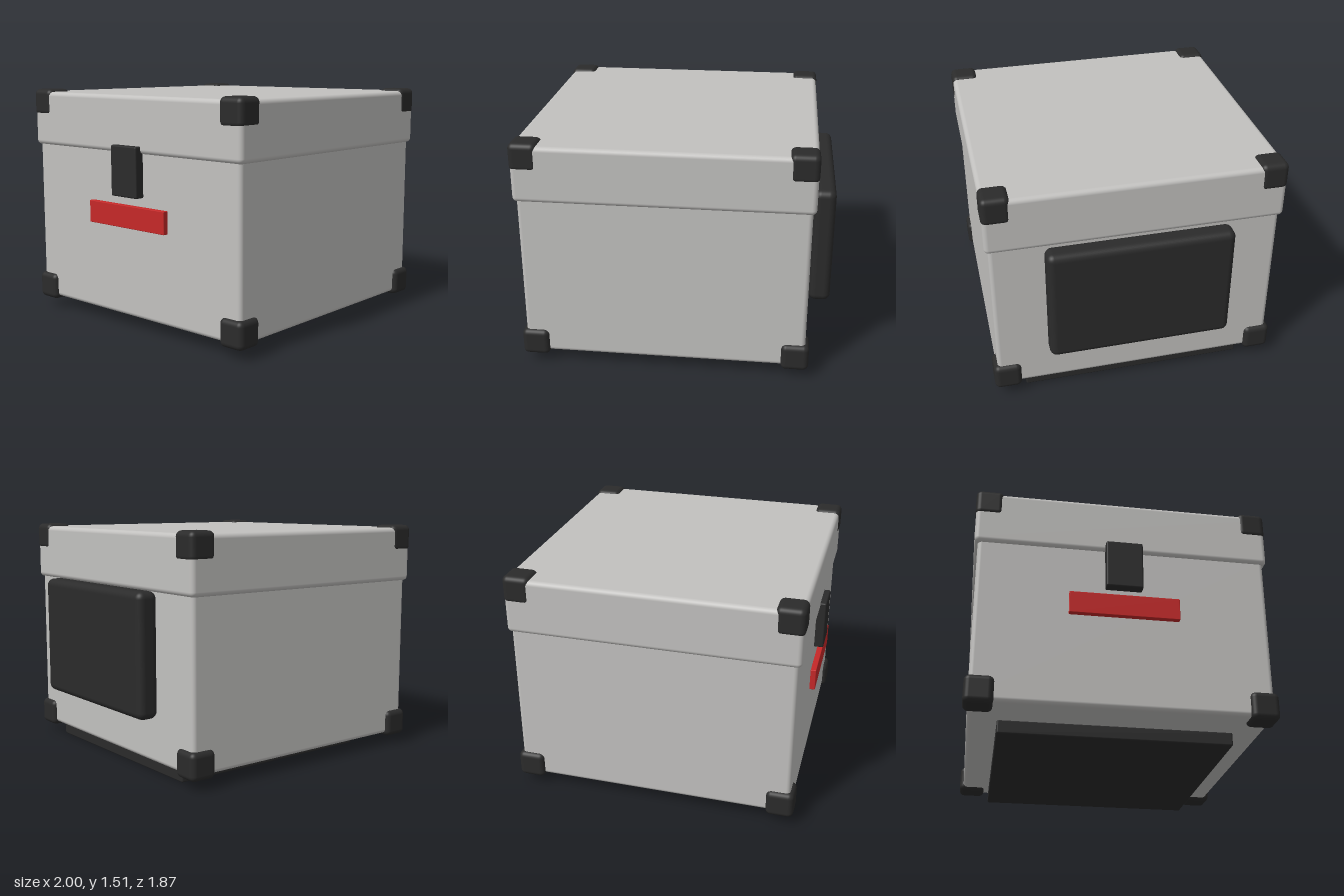
import * as THREE from 'three';
import { RoundedBoxGeometry } from 'three/addons/geometries/RoundedBoxGeometry.js';

const material = (name, color) => {
  const m = new THREE.MeshStandardMaterial({ color });
  m.name = name;
  return m;
};

export function createModel() {
  const grey = material('light grey', 0xc2c1bf);
  const dark = material('charcoal', 0x2b2b2b);
  const red = material('red', 0xc62828);
  const group = new THREE.Group();

  // Rounded block given by its extents on each axis
  const block = (name, mat, [x0, x1], [y0, y1], [z0, z1], radius) => {
    const geo = new RoundedBoxGeometry(x1 - x0, y1 - y0, z1 - z0, 4, radius);
    const mesh = new THREE.Mesh(geo, mat);
    mesh.position.set((x0 + x1) / 2, (y0 + y1) / 2, (z0 + z1) / 2);
    mesh.name = name;
    group.add(mesh);
  };

  // Case body and overhanging lid
  block('body', grey, [-0.94, 0.85], [0.083, 1.18], [-0.908, 0.908], 0.027);
  block('lid', grey, [-0.96, 0.87], [1.135, 1.492], [-0.93, 0.93], 0.03);

  // Corner guards, top and bottom
  const half = 0.088;
  for (const [level, y] of [['lower', 0.149], ['upper', 1.421]]) {
    for (const [side, x] of [['Right', -0.878], ['Left', 0.787]]) {
      for (const [end, z] of [['Front', 0.846], ['Back', -0.846]]) {
        block(`${level}${end}${side}CornerGuard`, dark,
          [x - half, x + half], [y - half, y + half], [z - half, z + half], 0.035);
      }
    }
  }

  // Padded side panel, base plate, latch and label strip
  block('sidePanel', dark, [0.862, 1], [0.375, 1.147], [-0.583, 0.583], 0.045);
  block('basePlate', dark, [-0.65, 0.8], [0, 0.088], [-0.726, 0.726], 0.01);
  block('latch', dark, [-1, -0.93], [0.863, 1.183], [-0.115, 0.115], 0.01);
  block('labelStrip', red, [-0.988, -0.952], [0.667, 0.81], [-0.34, 0.34], 0.004);

  return group;
}
